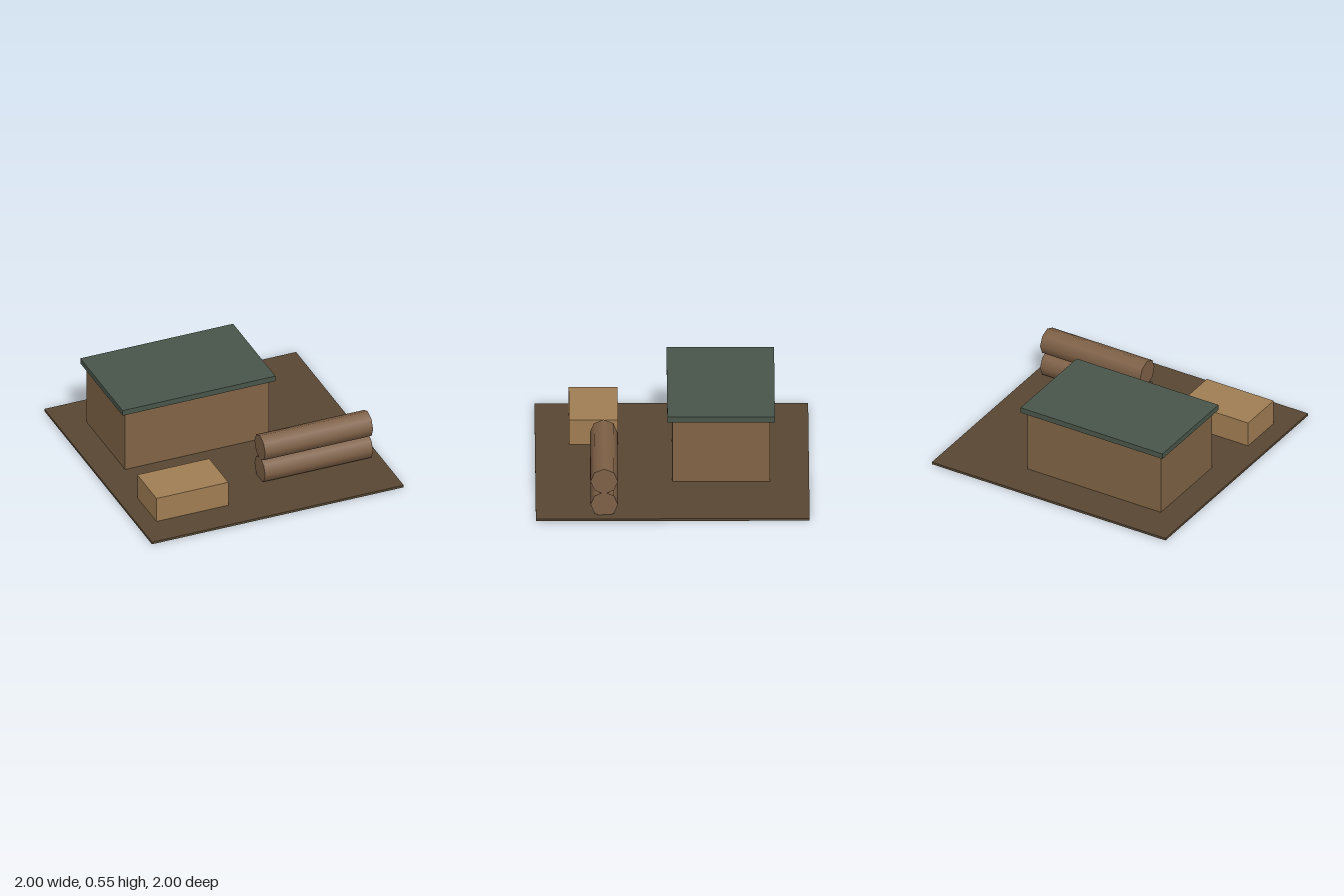
import * as THREE from 'three';

const mat = (color) => new THREE.MeshStandardMaterial({ color });

// Box given by its x, y and z ranges
function box(name, [x0, x1], [y0, y1], [z0, z1], material) {
  const mesh = new THREE.Mesh(new THREE.BoxGeometry(x1 - x0, y1 - y0, z1 - z0), material);
  mesh.position.set((x0 + x1) / 2, (y0 + y1) / 2, (z0 + z1) / 2);
  mesh.name = name;
  return mesh;
}

export function createModel() {
  const model = new THREE.Group();
  model.name = 'logCamp';

  // Ground slab, a hair above the footings that show through its underside
  model.add(box('ground', [-1, 1], [0.0007, 0.0185], [-1, 1], mat(0x574632)));

  // Cabin with an overhanging flat roof set just above the walls
  model.add(box('cabinWalls', [-0.786, 0.357], [0, 0.5], [-0.714, 0], mat(0x806345)));
  model.add(box('cabinRoof', [-0.821, 0.393], [0.511, 0.554], [-0.75, 0.036], mat(0x48554a)));

  // Crate
  model.add(box('crate', [-0.857, -0.286], [0, 0.216], [0.393, 0.75], mat(0xa07d53)));

  // Two stacked eight-sided logs lying along x
  const logGeometry = new THREE.CylinderGeometry(0.1, 0.1, 0.857, 8).rotateZ(Math.PI / 2);
  const bark = mat(0x7e6046);
  [['lowerLog', 0.1], ['upperLog', 0.286]].forEach(([name, y]) => {
    const log = new THREE.Mesh(logGeometry, bark);
    log.position.set(0.5, y, 0.5);
    log.name = name;
    model.add(log);
  });

  return model;
}
